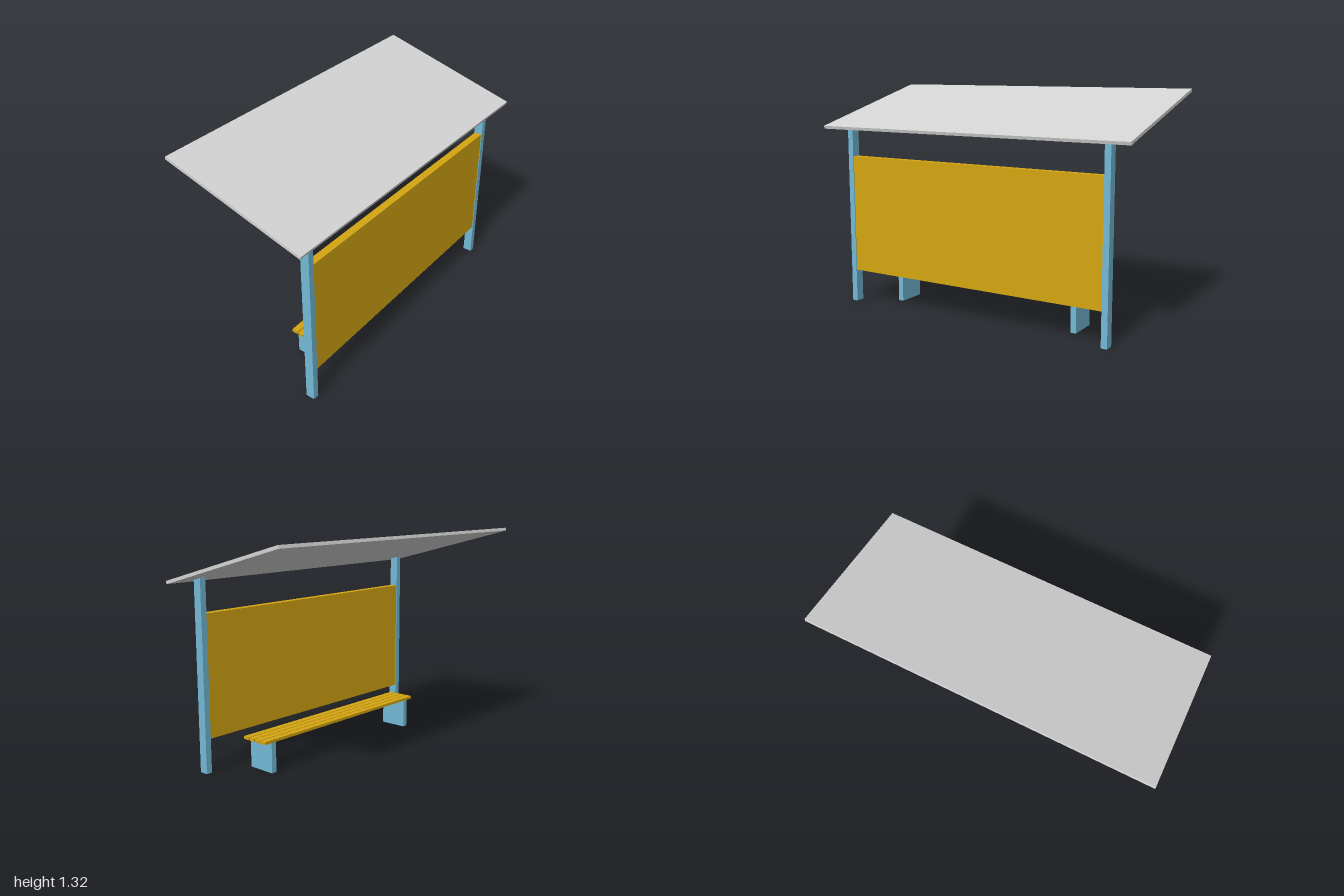
import * as THREE from 'three';

const material = (name, color) => {
  const m = new THREE.MeshStandardMaterial({ color });
  m.name = name;
  return m;
};

export function createModel() {
  const blue = material('bluePaint', 0x73b9d6);
  const yellow = material('yellowPaint', 0xd4a511);
  const grey = material('greyRoof', 0xd3d3d3);

  const shelter = new THREE.Group();
  shelter.name = 'shelter';

  const box = (name, size, pos, mat) => {
    const mesh = new THREE.Mesh(new THREE.BoxGeometry(...size), mat);
    mesh.name = name;
    mesh.position.set(...pos);
    shelter.add(mesh);
    return mesh;
  };

  // Sloping roof, low at the front and high at the back
  const roof = box('roof', [2, 0.018, 0.9], [0, 1.199, 0], grey);
  roof.rotation.x = THREE.MathUtils.degToRad(15);

  // Wall panel held between the posts
  box('wallPanel', [1.664, 0.71, 0.045], [0, 0.553, 0.3425], yellow);

  // Posts reach just inside the roof; bench legs are mirrored slabs
  for (const [side, sign] of [['left', 1], ['right', -1]]) {
    box(side + 'Post', [0.036, 1.104, 0.054], [sign * 0.85, 0.552, 0.3425], blue);
    box(side + 'BenchLeg', [0.033, 0.178, 0.174], [sign * 0.6, 0.089, 0.138], blue);
  }

  // Four bench slats with narrow gaps
  for (let i = 0; i < 4; i++) {
    box('benchSlat' + (i + 1), [1.333, 0.017, 0.039], [0, 0.1865, 0.138 + (i - 1.5) * 0.045], yellow);
  }

  return shelter;
}
